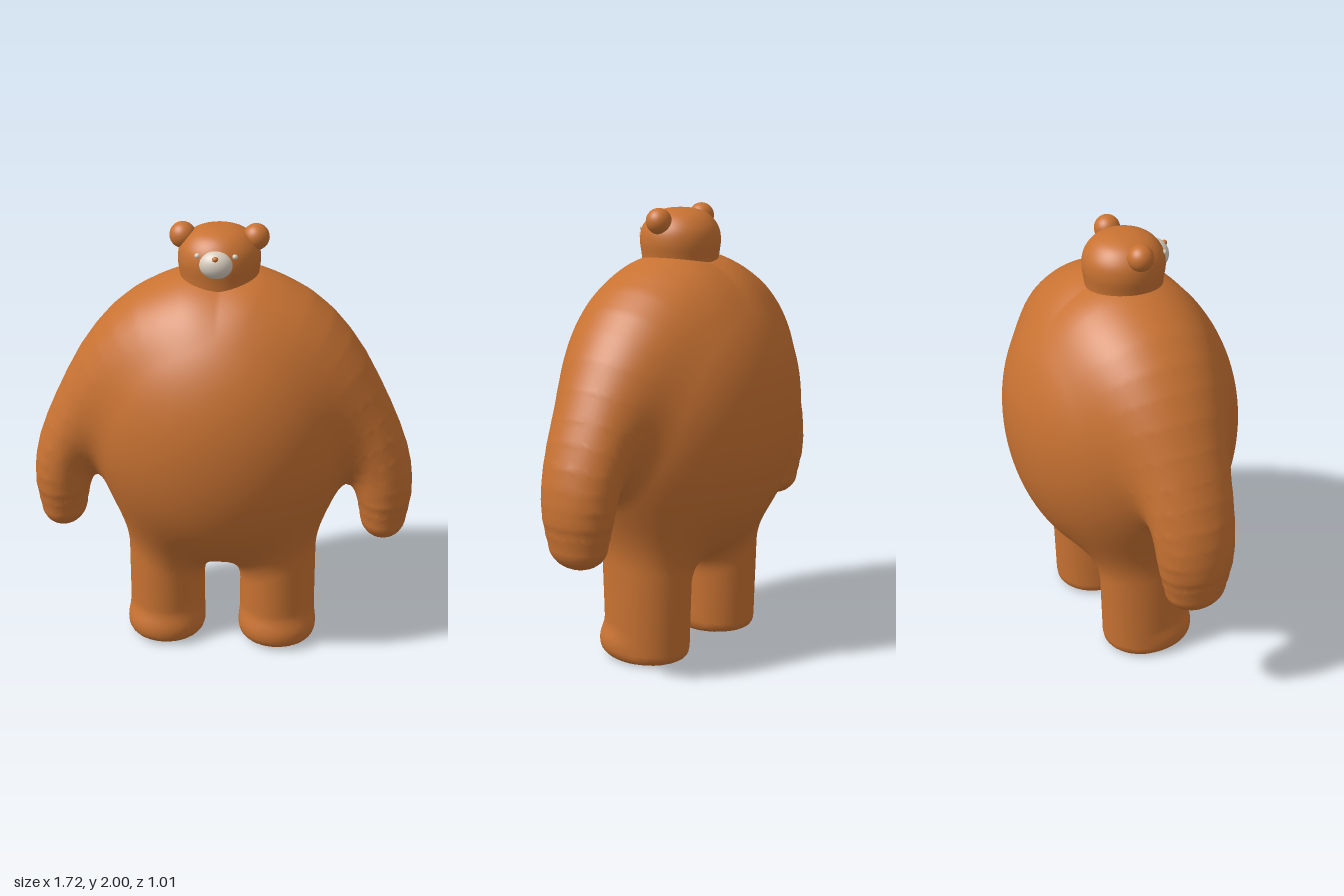
import * as THREE from 'three';

const fur = new THREE.MeshStandardMaterial({ color: 0xc87232 });
fur.name = 'brownFur';
const cream = new THREE.MeshStandardMaterial({ color: 0xd9cfc0 });
cream.name = 'cream';

// Smooth union and smooth intersection of two distances
const blend = (a, b, k) => {
  const h = Math.max(k - Math.abs(a - b), 0) / k;
  return Math.min(a, b) - h * h * k / 4;
};
const carve = (a, b, k) => -blend(-a, -b, k);

function ellipsoid(x, y, z, rx, ry, rz) {
  const k0 = Math.hypot(x / rx, y / ry, z / rz);
  const k1 = Math.hypot(x / rx ** 2, y / ry ** 2, z / rz ** 2);
  return k1 < 1e-6 ? -Math.min(rx, ry, rz) : k0 * (k0 - 1) / k1;
}

// Arm centre line: x, y and radius in the third slot
const armLine = new THREE.CatmullRomCurve3([
  [0.12, 1.58, 0.17], [0.32, 1.5, 0.17], [0.47, 1.35, 0.168], [0.61, 1.12, 0.155],
  [0.705, 0.92, 0.138], [0.732, 0.78, 0.128], [0.735, 0.64, 0.105],
].map(p => new THREE.Vector3(...p))).getPoints(14);

function arm(x, y, z) {
  let d = 9;
  for (let i = 0; i < armLine.length - 1; i++) {
    const a = armLine[i], b = armLine[i + 1];
    const ux = b.x - a.x, uy = b.y - a.y;
    const t = Math.min(1, Math.max(0, ((x - a.x) * ux + (y - a.y) * uy) / (ux * ux + uy * uy)));
    const r = a.z + (b.z - a.z) * t;
    d = Math.min(d, Math.hypot(x - a.x - ux * t, y - a.y - uy * t, z / 1.33) - r);
  }
  return d;
}

function leg(x, y, z) {
  const column = (Math.hypot((x - 0.258) / 0.174, (z - 0.002) / (0.196 + 0.04 * y)) - 1) * 0.18;
  const toes = ellipsoid(x - 0.262, y - 0.075, z - 0.06, 0.172, 0.11, 0.162);
  return carve(carve(blend(column, toes, 0.04), -y, 0.05), y - 0.75, 0.05);
}

// Torso, arms and legs melted together, mirrored over x
function bodyField(px, y, z) {
  const x = Math.abs(px);
  const torso = ellipsoid(x, y - 1.12, z, 0.6, y > 1.12 ? 0.67 : 0.72, 0.505);
  return blend(blend(torso, arm(x, y, z), 0.12), leg(x, y, z), 0.12);
}

function gradient(f, x, y, z, e = 0.002) {
  return new THREE.Vector3(
    f(x + e, y, z) - f(x - e, y, z),
    f(x, y + e, z) - f(x, y - e, z),
    f(x, y, z + e) - f(x, y, z - e)).divideScalar(2 * e);
}

// Skin a distance field: one vertex per crossed cell, one quad per crossed grid edge
function skin(f, min, max, s) {
  const n = min.map((m, i) => Math.ceil((max[i] - m) / s) + 1);
  const step = [1, n[0], n[0] * n[1]];
  const at = (i, j, k) => i + j * step[1] + k * step[2];
  const val = new Float32Array(n[0] * n[1] * n[2]);
  for (let k = 0; k < n[2]; k++) for (let j = 0; j < n[1]; j++) for (let i = 0; i < n[0]; i++)
    val[at(i, j, k)] = f(min[0] + i * s, min[1] + j * s, min[2] + k * s);

  const cell = new Int32Array(val.length).fill(-1);
  const pos = [], nor = [], index = [];
  for (let k = 0; k < n[2] - 1; k++) for (let j = 0; j < n[1] - 1; j++) for (let i = 0; i < n[0] - 1; i++) {
    const c = at(i, j, k), p = new THREE.Vector3();
    let hits = 0;
    for (let a = 0; a < 3; a++) for (let q = 0; q < 4; q++) {
      const o = [0, 0, 0];
      o[(a + 1) % 3] = q & 1;
      o[(a + 2) % 3] = q >> 1;
      const v0 = val[c + at(...o)], v1 = val[c + at(...o) + step[a]];
      if ((v0 < 0) === (v1 < 0)) continue;
      o[a] = v0 / (v0 - v1);
      p.add(new THREE.Vector3(...o));
      hits++;
    }
    if (!hits) continue;
    p.divideScalar(hits).add(new THREE.Vector3(i, j, k)).multiplyScalar(s).add(new THREE.Vector3(...min));
    for (let r = 0; r < 2; r++) {
      const g = gradient(f, p.x, p.y, p.z);
      const move = -f(p.x, p.y, p.z) / Math.max(g.lengthSq(), 0.2);
      p.addScaledVector(g, Math.max(-s / 2, Math.min(s / 2, move)));
    }
    cell[c] = pos.length / 3;
    pos.push(p.x, p.y, p.z);
    nor.push(...gradient(f, p.x, p.y, p.z).normalize().toArray());
  }
  for (let k = 1; k < n[2] - 1; k++) for (let j = 1; j < n[1] - 1; j++) for (let i = 1; i < n[0] - 1; i++) {
    const c = at(i, j, k);
    for (let a = 0; a < 3; a++) {
      const inside = val[c] < 0;
      if (inside === (val[c + step[a]] < 0)) continue;
      const u = step[(a + 1) % 3], v = step[(a + 2) % 3];
      const [A, B, C, D] = [cell[c - u - v], cell[c - v], cell[c], cell[c - u]];
      if (inside) index.push(A, B, C, A, C, D);
      else index.push(A, C, B, A, D, C);
    }
  }
  const geo = new THREE.BufferGeometry();
  geo.setAttribute('position', new THREE.Float32BufferAttribute(pos, 3));
  geo.setAttribute('normal', new THREE.Float32BufferAttribute(nor, 3));
  geo.setIndex(index);
  return geo;
}

export function createModel() {
  const model = new THREE.Group();
  model.name = 'bear';
  const add = (name, geo, mat, parent) => {
    const mesh = new THREE.Mesh(geo, mat);
    mesh.name = name;
    parent.add(mesh);
    return mesh;
  };
  const ball = (name, mat, parent, centre, radii) => {
    const mesh = add(name, new THREE.SphereGeometry(1, 32, 20), mat, parent);
    mesh.position.set(...centre);
    mesh.scale.set(...radii);
  };

  // Body with arms and legs
  add('body', skin(bodyField, [-0.95, -0.06, -0.6], [0.95, 1.9, 0.6], 0.025), fur, model);

  // Head, slightly off the centre line
  const head = new THREE.Group();
  head.name = 'head';
  head.position.set(-0.012, 0, 0.016);
  model.add(head);
  const profile = new THREE.SplineCurve([
    [0.166, 1.72], [0.17, 1.78], [0.178, 1.85], [0.166, 1.91], [0.125, 1.96], [0.065, 1.985], [0, 1.991],
  ].map(p => new THREE.Vector2(...p))).getPoints(30);
  profile[profile.length - 1].x = 0;
  add('skull', new THREE.LatheGeometry(profile, 48), fur, head);

  // Ears and eyes
  for (const [side, s] of [['left', 1], ['right', -1]]) {
    ball(side + 'Ear', fur, head, [s * 0.157, 1.943, 0], [0.057, 0.057, 0.056]);
    ball(side + 'Eye', cream, head, [s * 0.079, 1.9, 0.15], [0.012, 0.011, 0.012]);
  }

  // Muzzle and nose
  ball('muzzle', cream, head, [0, 1.863, 0.145], [0.074, 0.063, 0.06]);
  ball('nose', fur, head, [0, 1.9, 0.193], [0.013, 0.011, 0.012]);
  return model;
}
